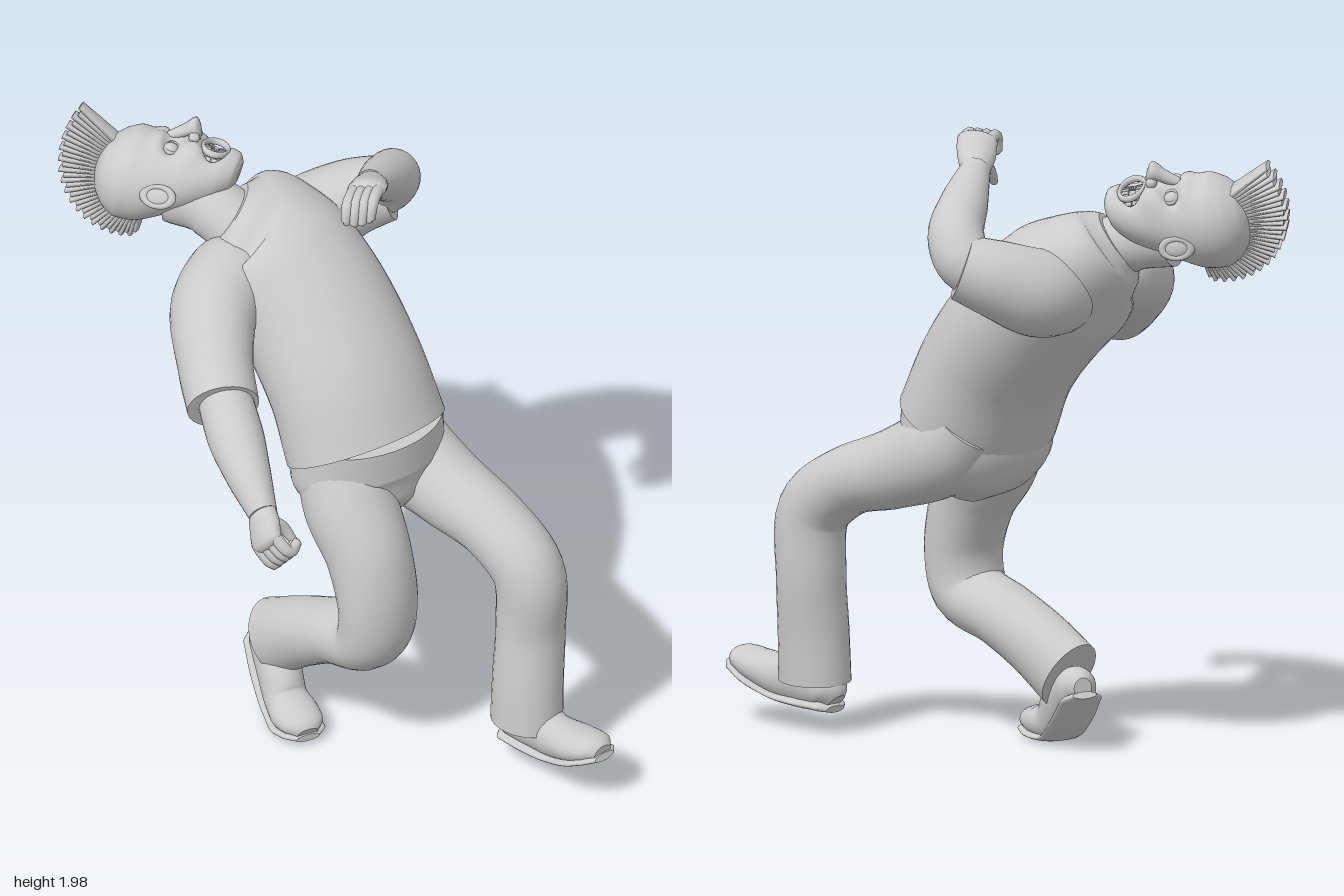
import * as THREE from 'three';

const V = (x, y, z) => new THREE.Vector3(x, y, z);
const X = V(1, 0, 0);
const mat = new THREE.MeshStandardMaterial({ color: 0xcccccc });

// Smooth skin over elliptical rings [x, y, z, halfSide, halfDepth], with flat caps.
// ref is the side direction (it may turn towards ref2), axis fixes the ring normal.
function loft(rings, { ref = X, ref2 = ref, axis = null, seg = 28, sub = 6 } = {}) {
  const path = new THREE.CatmullRomCurve3(rings.map(r => V(r[0], r[1], r[2])));
  const size = new THREE.CatmullRomCurve3(rings.map(r => V(r[3], r[4], 0)));
  const n = (rings.length - 1) * sub, pos = [], idx = [];
  for (let i = 0; i <= n; i++) {
    const t = i / n, c = path.getPoint(t), s = size.getPoint(t);
    const T = axis ? axis.clone() : path.getTangent(t);
    const side = ref.clone().lerp(ref2, t);
    side.addScaledVector(T, -side.dot(T)).normalize();
    const fwd = T.clone().cross(side);
    for (let j = 0; j < seg; j++) {
      const a = j / seg * Math.PI * 2;
      const p = c.clone().addScaledVector(side, Math.cos(a) * s.x).addScaledVector(fwd, Math.sin(a) * s.y);
      pos.push(p.x, p.y, p.z);
    }
  }
  const at = (i, j) => i * seg + j % seg;
  for (let i = 0; i < n; i++) for (let j = 0; j < seg; j++) {
    idx.push(at(i, j), at(i, j + 1), at(i + 1, j + 1), at(i, j), at(i + 1, j + 1), at(i + 1, j));
  }
  for (const [row, end] of [[0, false], [n, true]]) {
    const base = pos.length / 3;
    pos.push(...pos.slice(row * seg * 3, (row + 1) * seg * 3));
    for (let j = 1; j < seg - 1; j++) {
      idx.push(base, base + (end ? j : j + 1), base + (end ? j + 1 : j));
    }
  }
  const g = new THREE.BufferGeometry();
  g.setAttribute('position', new THREE.Float32BufferAttribute(pos, 3));
  g.setIndex(idx);
  g.computeVertexNormals();
  return g;
}

function add(parent, name, geo) {
  const m = new THREE.Mesh(geo, mat);
  m.name = name;
  parent.add(m);
  return m;
}

// Palm, four curled fingers and a thumb
function hand(parent, name, wrist, knuckle, mid, tip, spread, thumb) {
  const g = new THREE.Group();
  g.name = name;
  parent.add(g);
  const ref = spread.clone().normalize(), mix = wrist.clone().lerp(knuckle, 0.5);
  add(g, 'palm', loft([[...wrist, 0.046, 0.04], [...mix, 0.062, 0.038],
    [...knuckle, 0.064, 0.032], [...knuckle.clone().lerp(mid, 0.3), 0.05, 0.016]], { ref, seg: 16 }));
  for (let i = 0; i < 4; i++) {
    const k = i - 1.5, off = p => p.clone().addScaledVector(spread, k);
    const end = off(tip.clone().lerp(mid, Math.abs(k) * 0.12));
    add(g, 'finger', loft([[...off(knuckle.clone().lerp(wrist, 0.15)), 0.017, 0.017], [...off(knuckle), 0.02, 0.02],
      [...off(mid), 0.019, 0.019], [...end, 0.015, 0.015], [...end.clone().lerp(mid, -0.1), 0.004, 0.004]],
      { ref, seg: 10, sub: 4 }));
  }
  add(g, 'thumb', loft(thumb.map((p, i) => [...p, [0.026, 0.021, 0.012][i], [0.026, 0.021, 0.012][i]]), { ref, seg: 10 }));
}

// Shoe upper and welted sole along a heel - ball - toe line
function shoe(parent, name, heel, ball, toe) {
  const g = new THREE.Group();
  g.name = name;
  parent.add(g);
  const line = new THREE.CatmullRomCurve3([heel, ball, toe]);
  const d = toe.clone().sub(heel), side = V(d.z, 0, -d.x).normalize();
  const along = rows => loft(rows.map(([t, w, h]) => {
    const up = line.getTangent(t).cross(side);
    return [...line.getPoint(t).addScaledVector(up, h), w, h];
  }), { ref: side, seg: 24 });
  add(g, 'upper', along([[0, 0.03, 0.035], [0.06, 0.064, 0.065], [0.25, 0.07, 0.09], [0.5, 0.07, 0.072],
    [0.75, 0.08, 0.056], [0.92, 0.068, 0.042], [0.99, 0.035, 0.025]]));
  add(g, 'sole', along([[0, 0.04, 0.012], [0.06, 0.07, 0.018], [0.25, 0.074, 0.018], [0.5, 0.072, 0.015],
    [0.75, 0.086, 0.016], [0.92, 0.074, 0.016], [1, 0.04, 0.012]]));
}

function buildHead() {
  const head = new THREE.Group();
  head.name = 'head';
  // Skull and jaw rows: height, half width, front, back
  const rows = [[-0.26, 0.04, 0.125, 0.06], [-0.245, 0.072, 0.148, 0.02], [-0.2, 0.104, 0.156, -0.03],
    [-0.13, 0.126, 0.156, -0.08], [-0.06, 0.136, 0.147, -0.125], [0.01, 0.146, 0.137, -0.165],
    [0.07, 0.147, 0.135, -0.175], [0.12, 0.13, 0.11, -0.155], [0.16, 0.09, 0.065, -0.11],
    [0.178, 0.04, 0.02, -0.06], [0.182, 0.004, -0.015, -0.025]];
  const skull = loft(rows.map(([y, w, f, b]) => [0, y, (f + b) / 2, w, (f - b) / 2]),
    { axis: V(0, 1, 0), seg: 72, sub: 6 });
  // Press in the mouth and eye sockets, raise brows and cheeks
  const p = skull.attributes.position;
  const bump = (x, y, cx, cy, rx, ry) => {
    const d = ((x - cx) / rx) ** 2 + ((y - cy) / ry) ** 2;
    return Math.exp(-d * d);
  };
  for (let i = 0; i < p.count; i++) {
    const x = Math.abs(p.getX(i)), y = p.getY(i), z = p.getZ(i);
    if (z < 0.03) continue;
    p.setZ(i, z - 0.06 * bump(x, y, 0, -0.165, 0.07, 0.038) - 0.02 * bump(x, y, 0.06, -0.033, 0.038, 0.026)
      + 0.011 * bump(x, y, 0.05, 0.01, 0.05, 0.022) + 0.018 * bump(x, y, 0.08, -0.095, 0.04, 0.036));
  }
  skull.computeVertexNormals();
  add(head, 'skull', skull);
  // Nose
  add(head, 'nose', loft([[0, -0.11, 0.155, 0.006, 0.006], [0, -0.102, 0.168, 0.024, 0.022],
    [0, -0.078, 0.186, 0.034, 0.032], [0, -0.045, 0.158, 0.024, 0.025], [0, -0.005, 0.128, 0.018, 0.016]],
    { axis: V(0, 1, 0), seg: 16 }));
  // Lips
  const lips = add(head, 'lips', new THREE.TorusGeometry(0.068, 0.011, 10, 36));
  lips.position.set(0, -0.165, 0.14);
  lips.scale.set(1, 0.6, 1);
  for (const s of [-1, 1]) {
    // Eyes, lids, nostrils and ears
    add(head, 'eye', new THREE.SphereGeometry(0.026, 16, 12)).position.set(s * 0.06, -0.035, 0.106);
    const lid = add(head, 'eyelid', new THREE.TorusGeometry(0.027, 0.006, 8, 24));
    lid.position.set(s * 0.06, -0.035, 0.115);
    lid.scale.y = 0.7;
    lid.rotation.y = s * 0.35;
    add(head, 'nostril', new THREE.SphereGeometry(0.018, 12, 8)).position.set(s * 0.027, -0.092, 0.16);
    const ear = new THREE.Group();
    ear.name = 'ear';
    const rim = add(ear, 'earRim', new THREE.TorusGeometry(0.031, 0.01, 8, 24));
    rim.scale.y = 1.45;
    add(ear, 'earBowl', new THREE.SphereGeometry(0.03, 14, 10)).scale.set(1, 1.4, 0.4);
    ear.position.set(s * 0.143, -0.045, -0.025);
    ear.rotation.set(-0.15, s * 1.3, 0);
    head.add(ear);
    // Teeth on upper and lower arcs
    for (let i = 0; i < 9; i++) {
      const a = (i - 4) * 0.21, tooth = add(head, 'tooth', new THREE.BoxGeometry(0.0125, 0.022, 0.01));
      tooth.position.set(Math.sin(a) * 0.072, -0.165 + s * 0.023 * Math.cos(a * 1.2), 0.074 + Math.cos(a) * 0.06);
      tooth.rotation.y = a;
    }
  }
  // Crest of broad flattened spikes from brow to nape
  const crest = new THREE.Group();
  crest.name = 'hairCrest';
  for (let i = 0; i < 34; i++) {
    const t = i / 33, a = THREE.MathUtils.degToRad(65 + 115 * t);
    const reach = 0.3 - 0.1 * t * t + (i % 2 ? 0 : 0.012), len = reach - 0.12;
    const spike = add(crest, 'spike', new THREE.CylinderGeometry(0.009, 0.013, len, 6));
    spike.scale.x = 4;
    spike.position.set(0, Math.sin(a) * (0.12 + len / 2), Math.cos(a) * (0.12 + len / 2));
    spike.rotation.x = Math.PI / 2 - a;
  }
  head.add(crest);
  // Thrown back and turned
  const up = V(-0.6, 0.22, -0.75).normalize();
  const left = up.clone().cross(V(0.4, 0.92, 0.0)).normalize();
  head.quaternion.setFromRotationMatrix(new THREE.Matrix4().makeBasis(left, up, left.clone().cross(up)));
  head.position.set(-0.14, 1.77, -0.69);
  return head;
}

export function createModel() {
  const model = new THREE.Group();
  model.name = 'leaningFigure';

  // Shirt body, shoulders turned against the hips
  add(model, 'shirt', loft([[0.125, 1.06, 0.065, 0.278, 0.22], [0.12, 1.24, -0.03, 0.268, 0.225],
    [0.11, 1.42, -0.19, 0.265, 0.23], [0.08, 1.535, -0.32, 0.272, 0.222], [0.045, 1.61, -0.405, 0.25, 0.18],
    [0.0, 1.655, -0.445, 0.18, 0.14], [-0.02, 1.675, -0.465, 0.125, 0.108]], { ref2: V(0.93, 0, -0.36), seg: 48 }));
  add(model, 'neck', loft([[0.01, 1.63, -0.41, 0.105, 0.1], [-0.04, 1.69, -0.52, 0.1, 0.1],
    [-0.1, 1.71, -0.63, 0.1, 0.1]]));
  model.add(buildHead());

  // Right arm, swung down and forward
  const Y = V(0, 1, 0);
  add(model, 'rightSleeve', loft([[0.0, 1.56, -0.37, 0.09, 0.1], [-0.1, 1.55, -0.34, 0.13, 0.14],
    [-0.22, 1.51, -0.27, 0.137, 0.14], [-0.33, 1.42, -0.12, 0.12, 0.12], [-0.395, 1.36, 0.005, 0.115, 0.115]], { ref: Y }));
  add(model, 'rightForearm', loft([[-0.36, 1.39, -0.05, 0.085, 0.085], [-0.43, 1.33, 0.11, 0.09, 0.09],
    [-0.48, 1.265, 0.25, 0.074, 0.072], [-0.515, 1.2, 0.37, 0.05, 0.046]], { ref: Y }));
  hand(model, 'rightHand', V(-0.51, 1.21, 0.36), V(-0.545, 1.14, 0.43), V(-0.52, 1.09, 0.475), V(-0.46, 1.1, 0.445),
    V(0.008, 0.021, 0.017), [V(-0.51, 1.17, 0.37), V(-0.45, 1.13, 0.38), V(-0.42, 1.075, 0.41)]);

  // Left arm, raised with the forearm folded across
  add(model, 'leftSleeve', loft([[0.1, 1.51, -0.38, 0.08, 0.08], [0.2, 1.525, -0.435, 0.125, 0.125],
    [0.3, 1.545, -0.445, 0.14, 0.14], [0.42, 1.595, -0.4, 0.125, 0.125], [0.51, 1.635, -0.33, 0.105, 0.11]], { ref: Y }));
  add(model, 'leftForearm', loft([[0.42, 1.6, -0.4, 0.09, 0.09], [0.495, 1.65, -0.33, 0.092, 0.092],
    [0.485, 1.72, -0.27, 0.09, 0.09], [0.39, 1.8, -0.19, 0.078, 0.074], [0.26, 1.885, -0.09, 0.048, 0.046]],
    { ref: V(0.5, 0, -0.85).cross(Y) }));
  hand(model, 'leftHand', V(0.27, 1.88, -0.1), V(0.175, 1.955, 0.005), V(0.105, 1.955, 0.06), V(0.085, 1.89, 0.075),
    V(0.021, 0.003, 0.016), [V(0.22, 1.9, -0.07), V(0.17, 1.86, -0.05), V(0.135, 1.82, -0.03)]);

  // Trousers: hips and two legs in mid stride
  add(model, 'hips', loft([[0.13, 0.8, 0.12, 0.06, 0.06], [0.13, 0.87, 0.1, 0.2, 0.155],
    [0.13, 0.98, 0.068, 0.268, 0.2], [0.128, 1.12, 0.062, 0.262, 0.205]], { seg: 40 }));
  add(model, 'leftLeg', loft([[0.24, 1.07, -0.02, 0.13, 0.13], [0.27, 0.965, 0.07, 0.15, 0.148],
    [0.315, 0.885, 0.24, 0.132, 0.128], [0.36, 0.82, 0.43, 0.118, 0.112], [0.39, 0.71, 0.56, 0.114, 0.118],
    [0.392, 0.5, 0.57, 0.112, 0.11], [0.375, 0.33, 0.58, 0.11, 0.118], [0.365, 0.165, 0.585, 0.108, 0.126]]));
  add(model, 'rightLeg', loft([[0.02, 1.05, 0.06, 0.14, 0.14], [0.005, 0.9, 0.14, 0.15, 0.15],
    [0.005, 0.76, 0.235, 0.138, 0.135], [0.005, 0.58, 0.285, 0.135, 0.108], [0.0, 0.455, 0.255, 0.13, 0.105],
    [-0.015, 0.395, 0.1, 0.12, 0.103], [-0.035, 0.325, -0.04, 0.11, 0.112], [-0.05, 0.24, -0.175, 0.102, 0.124]]));

  shoe(model, 'leftShoe', V(0.36, 0.07, 0.49), V(0.39, 0.09, 0.73), V(0.415, 0.175, 0.93));
  shoe(model, 'rightShoe', V(-0.02, 0.185, -0.295), V(-0.09, 0.01, -0.08), V(-0.13, 0.02, 0.1));
  return model;
}
